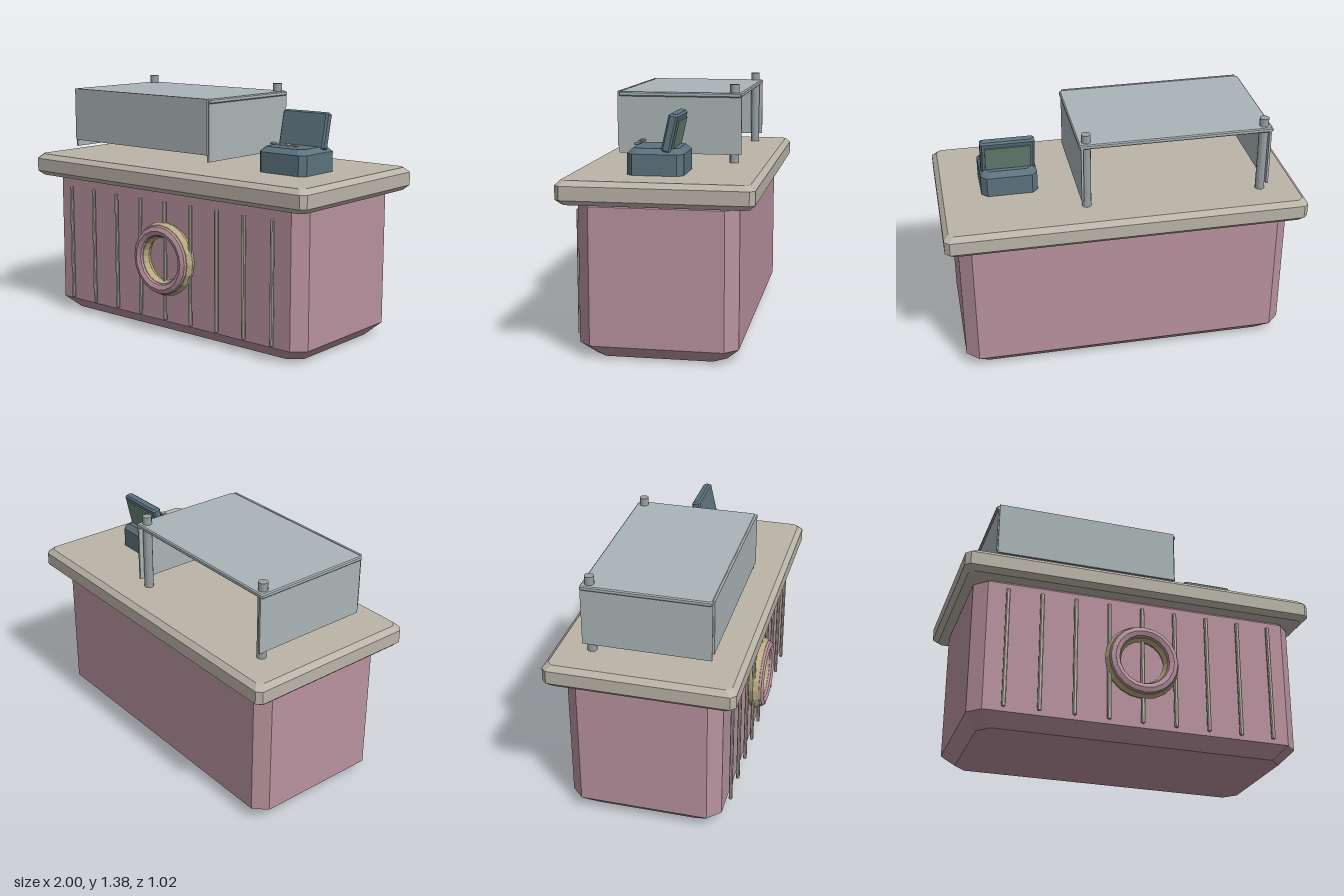
import * as THREE from 'three';

const paint = (color) => new THREE.MeshStandardMaterial({ color, flatShading: true, side: THREE.DoubleSide });
const PINK = paint(0xb8929e), STONE = paint(0xbab4a8), PANE = paint(0xaab4b6), STEEL = paint(0x979fa2);
const SLATE = paint(0x5c727d), BRASS = paint(0xb8ab80), GREEN = paint(0x6b8576);

// Stacks eight-sided cross-sections [y, halfWidth, halfDepth, cornerCut] into a closed solid
function loft(rings) {
  const pos = [], idx = [], n = rings.length;
  for (const [y, w, d, c] of rings) {
    const outline = [[w, d - c], [w - c, d], [c - w, d], [-w, d - c], [-w, c - d], [c - w, -d], [w - c, -d], [w, c - d]];
    for (const [x, z] of outline) pos.push(x, y, -z);
  }
  for (let i = 0; i < n - 1; i++) {
    for (let j = 0; j < 8; j++) {
      const a = i * 8 + j, b = i * 8 + (j + 1) % 8;
      idx.push(a, b, b + 8, a, b + 8, a + 8);
    }
  }
  const top = (n - 1) * 8;
  for (let j = 1; j < 7; j++) idx.push(0, j + 1, j, top, top + j, top + j + 1);
  const g = new THREE.BufferGeometry();
  g.setAttribute('position', new THREE.Float32BufferAttribute(pos, 3));
  g.setIndex(idx);
  const flat = g.toNonIndexed();
  flat.computeVertexNormals();
  return flat;
}

// Box centred on the origin with every edge chamfered by c
function chamferBox(w, h, d, c) {
  const x = w / 2, y = h / 2, z = d / 2;
  return loft([[-y, x - c, z - c, c], [c - y, x, z, c], [y - c, x, z, c], [y, x - c, z - c, c]]);
}

export function createModel() {
  const model = new THREE.Group();
  model.name = 'shopCounter';
  const add = (name, geometry, material, x = 0, y = 0, z = 0, parent = model) => {
    const mesh = new THREE.Mesh(geometry, material);
    mesh.name = name;
    mesh.position.set(x, y, z);
    parent.add(mesh);
    return mesh;
  };

  // Counter cabinet and worktop
  add('cabinet', loft([[0, 0.855, 0.35, 0.065], [0.07, 0.925, 0.42, 0.068], [0.805, 0.925, 0.42, 0.068], [0.86, 0.87, 0.365, 0.066]]), PINK);
  add('worktop', chamferBox(2, 0.127, 1.02, 0.027), STONE, 0, 0.8825, 0);

  // Vertical trim bars along the front
  for (let i = -4; i <= 4; i++) add('trimBar', chamferBox(0.022, 0.68, 0.018, 0.005), STONE, i * 0.1885 + 0.003, 0.425, 0.446);

  // Ring ornament: brass ring with a pink ring set into its face
  add('ornamentRing', new THREE.TorusGeometry(0.166, 0.045, 8, 20), BRASS, 0, 0.437, 0.446);
  add('ornamentInlay', new THREE.TorusGeometry(0.166, 0.034, 8, 20), PINK, 0, 0.437, 0.467);

  // Display case, open at the back
  const display = new THREE.Group();
  display.name = 'displayCase';
  display.position.x = -0.283;
  model.add(display);
  add('caseTop', chamferBox(1.066, 0.026, 0.69, 0.006), PANE, 0, 1.322, 0, display);
  add('caseFront', new THREE.BoxGeometry(1.035, 0.305, 0.012), PANE, 0, 1.1835, 0.349, display);
  for (const s of [-1, 1]) {
    add('caseSide', new THREE.BoxGeometry(0.012, 0.325, 0.69), PANE, s * 0.518, 1.155, 0, display);
    add('casePost', new THREE.CylinderGeometry(0.026, 0.026, 0.435, 12), STEEL, s * 0.491, 1.1625, -0.302, display);
  }

  // Cash register with keys facing the front and a screen facing the back
  const register = new THREE.Group();
  register.name = 'cashRegister';
  register.position.x = 0.602;
  model.add(register);
  add('registerBase', loft([[0.945, 0.157, 0.15, 0.032], [1.057, 0.157, 0.15, 0.032], [1.085, 0.128, 0.121, 0.028]]), SLATE, 0, 0, 0.04, register);
  for (let i = 0; i < 4; i++) add('key', chamferBox(0.03, 0.014, 0.03, 0.004), STONE, -0.074 + i * 0.049, 1.102, 0.145, register);

  const monitor = new THREE.Group();
  monitor.name = 'monitor';
  monitor.position.set(0, 1.165, -0.038);
  monitor.rotation.x = -0.22;
  register.add(monitor);
  add('monitorBody', chamferBox(0.3, 0.205, 0.05, 0.01), SLATE, 0, 0, 0, monitor);
  add('screen', new THREE.BoxGeometry(0.25, 0.15, 0.01), GREEN, 0, -0.005, -0.028, monitor);

  return model;
}
